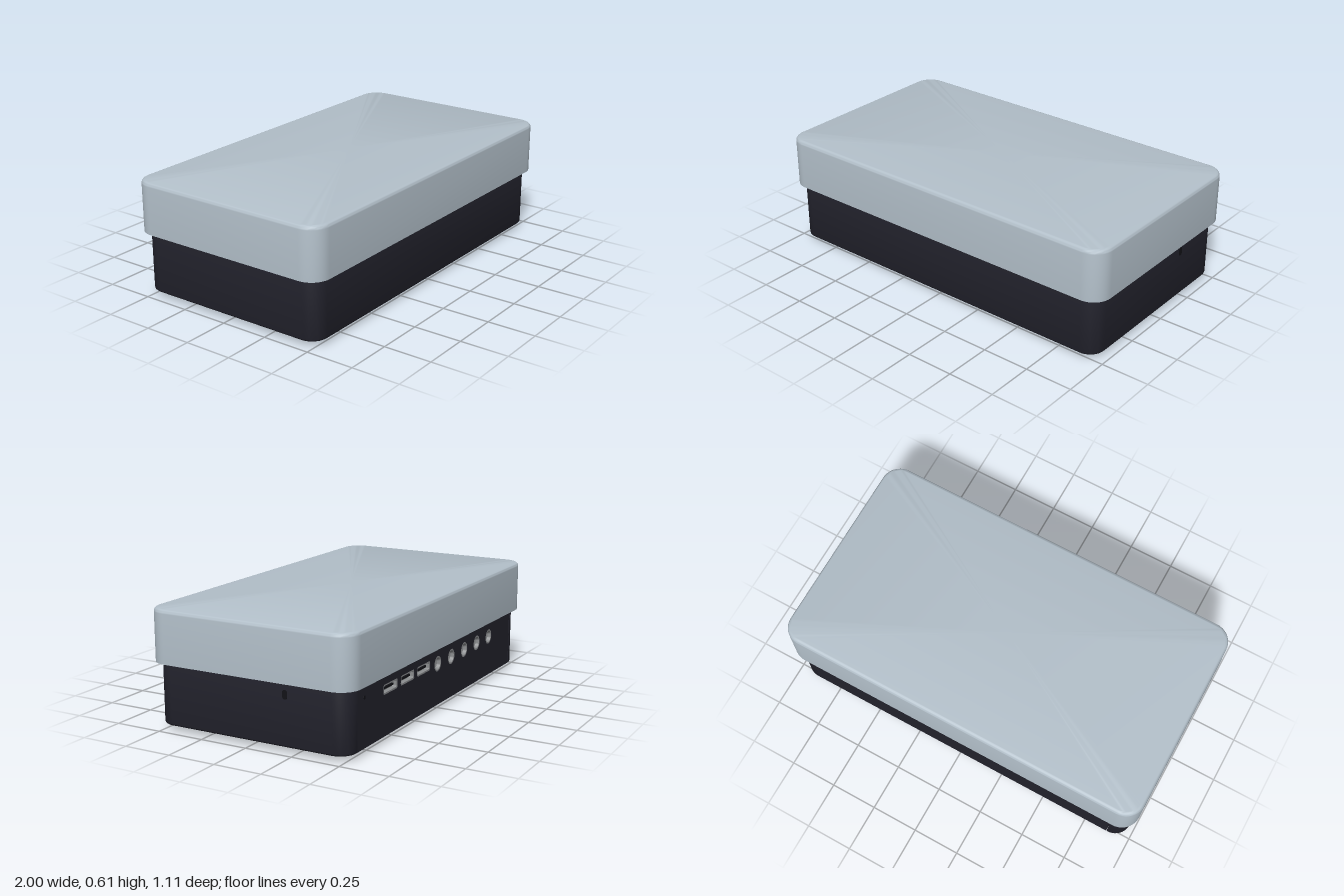
import * as THREE from 'three';
import { toCreasedNormals, mergeGeometries } from 'three/addons/utils/BufferGeometryUtils.js';

const mat = (name, color, side = THREE.FrontSide) =>
  new THREE.MeshStandardMaterial({ name, color, side });

// Points of a rounded rectangle, counter-clockwise in (x, y)
function roundedRect(hw, hh, r, steps = 10) {
  const pts = [];
  [[1, 1], [-1, 1], [-1, -1], [1, -1]].forEach(([sx, sy], q) => {
    for (let i = 0; i <= steps; i++) {
      const a = (q + i / steps) * Math.PI / 2;
      pts.push(new THREE.Vector2(sx * (hw - r) + r * Math.cos(a), sy * (hh - r) + r * Math.sin(a)));
    }
  });
  return pts;
}

// Rounded-rectangle rings stacked along a profile of [inset, y], capped on top
function stackedBox(hw, hd, r, profile) {
  const pos = [], index = [];
  const n = roundedRect(hw, hd, r).length;
  profile.forEach(([inset, y]) => {
    for (const p of roundedRect(hw - inset, hd - inset, r - inset)) pos.push(p.x, y, -p.y);
  });
  for (let k = 0; k < profile.length - 1; k++) {
    for (let i = 0; i < n; i++) {
      const a = k * n + i, b = k * n + (i + 1) % n;
      index.push(a, b, b + n, a, b + n, a + n);
    }
  }
  const top = (profile.length - 1) * n;
  pos.push(0, profile[profile.length - 1][1], 0);
  for (let i = 0; i < n; i++) index.push(top + i, top + (i + 1) % n, pos.length / 3 - 1);
  const geo = new THREE.BufferGeometry();
  geo.setAttribute('position', new THREE.Float32BufferAttribute(pos, 3));
  geo.setIndex(index);
  return toCreasedNormals(geo.toNonIndexed(), 0.7);
}

export function createModel() {
  const model = new THREE.Group();
  model.name = 'desktopBox';
  const lidGrey = mat('lidGrey', 0xb3c0ca);
  const caseDark = mat('caseDark', 0x22222c);
  const metal = mat('portMetal', 0x8c8e90, THREE.DoubleSide);
  const black = mat('recessBlack', 0x121217);
  const screwGrey = mat('screwGrey', 0x34343e);
  const add = (name, geo, material, x = 0, y = 0, z = 0) => {
    const m = new THREE.Mesh(geo, material);
    m.name = name;
    m.position.set(x, y, z);
    model.add(m);
    return m;
  };

  // Lid: overhanging underside, straight wall, rounded top edge
  const lidProfile = [[0.06, 0.338], [0, 0.338], [0, 0.585]];
  for (let i = 1; i <= 5; i++) {
    const a = i / 5 * Math.PI / 2;
    lidProfile.push([0.02 * (1 - Math.cos(a)), 0.585 + 0.02 * Math.sin(a)]);
  }
  add('lid', stackedBox(1, 0.555, 0.1, lidProfile), lidGrey);

  // Base case, with a shallow bay cut in the back for the port panel
  const back = 0.527, bay = 0.497, bayX = 0.88;
  const outline = [];
  roundedRect(0.97, back, 0.085).forEach((p, i) => {
    outline.push(p);
    if (i === 10) {
      outline.push(new THREE.Vector2(bayX, back), new THREE.Vector2(bayX, bay),
        new THREE.Vector2(-bayX, bay), new THREE.Vector2(-bayX, back));
    }
  });
  const bevel = 0.01;
  const baseGeo = new THREE.ExtrudeGeometry(new THREE.Shape(outline), {
    depth: 0.305, bevelEnabled: true, bevelSize: bevel, bevelThickness: bevel,
    bevelOffset: -bevel, bevelSegments: 3,
  });
  baseGeo.rotateX(-Math.PI / 2);
  add('base', toCreasedNormals(baseGeo, 0.7), caseDark, 0, 0.028 + bevel, 0);

  // Back panel with holes for the ports
  const slotXs = [0.56, 0.385, 0.21], slotY = 0.26;
  const jackXs = [0, 1, 2, 3, 4].map((i) => 0.05 - i * 0.16), jackY = 0.248;
  const panel = new THREE.Shape([
    new THREE.Vector2(-0.876, 0.032), new THREE.Vector2(0.885, 0.032),
    new THREE.Vector2(0.885, 0.345), new THREE.Vector2(-0.876, 0.345),
  ]);
  for (const x of slotXs) {
    panel.holes.push(new THREE.Path(roundedRect(0.073, 0.025, 0.012, 4)
      .map((p) => p.add(new THREE.Vector2(x, slotY)))));
  }
  for (const x of jackXs) panel.holes.push(new THREE.Path().absarc(x, jackY, 0.04, 0, Math.PI * 2));
  add('backPanel', new THREE.ExtrudeGeometry(panel,
    { depth: 0.027, bevelEnabled: false, curveSegments: 16 }), caseDark, 0, 0, -0.526);

  // Slot ports: metal shell, metal floor and dark tongue
  const shell = new THREE.Shape(roundedRect(0.073, 0.025, 0.012, 4));
  shell.holes.push(new THREE.Path(roundedRect(0.064, 0.017, 0.008, 4)));
  const slotGeo = mergeGeometries([
    new THREE.ExtrudeGeometry(shell, { depth: 0.025, bevelEnabled: false }),
    new THREE.BoxGeometry(0.14, 0.045, 0.002).translate(0, 0, 0.025).toNonIndexed(),
  ]);
  for (const x of slotXs) {
    add('slotPort', slotGeo, metal, x, slotY, -0.524);
    add('slotTongue', new THREE.BoxGeometry(0.1, 0.01, 0.014), black, x, slotY, -0.507);
  }

  // Round jacks: turned metal cup with a dark bore
  const cup = new THREE.LatheGeometry([
    [0.04, -0.025], [0.04, 0], [0.032, 0], [0.025, -0.016], [0.012, -0.02],
  ].map(([r, y]) => new THREE.Vector2(r, y)), 24).rotateX(-Math.PI / 2);
  const jackGeo = toCreasedNormals(cup, 0.5);
  const bore = new THREE.CylinderGeometry(0.014, 0.014, 0.004, 16).rotateX(Math.PI / 2);
  for (const x of jackXs) {
    add('roundJack', jackGeo, metal, x, jackY, -0.525);
    add('jackBore', bore, black, x, jackY, -0.503);
  }

  // Reset pinhole
  add('pinhole', new THREE.CylinderGeometry(0.009, 0.009, 0.002, 12).rotateX(Math.PI / 2),
    black, 0.815, 0.275, -0.5265);

  // Security slots on the sides
  const lock = new THREE.ExtrudeGeometry(new THREE.Shape(roundedRect(0.013, 0.022, 0.01, 4)),
    { depth: 0.002, bevelEnabled: false }).rotateY(Math.PI / 2);
  add('securitySlot', lock, black, 0.969, 0.28, -0.2);

  // Feet and corner screws
  const foot = new THREE.CylinderGeometry(0.065, 0.065, 0.034, 32);
  const screw = new THREE.CylinderGeometry(0.022, 0.022, 0.004, 16);
  const socket = new THREE.CylinderGeometry(0.01, 0.01, 0.004, 6);
  for (const s of [-1, 1]) {
    for (const z of [0.35, -0.265]) add('foot', foot, caseDark, s * 0.72, 0.017, z);
    for (const t of [-1, 1]) {
      add('screw', screw, screwGrey, s * 0.9, 0.028, t * 0.455);
      add('screwSocket', socket, black, s * 0.9, 0.027, t * 0.455);
    }
  }
  return model;
}
